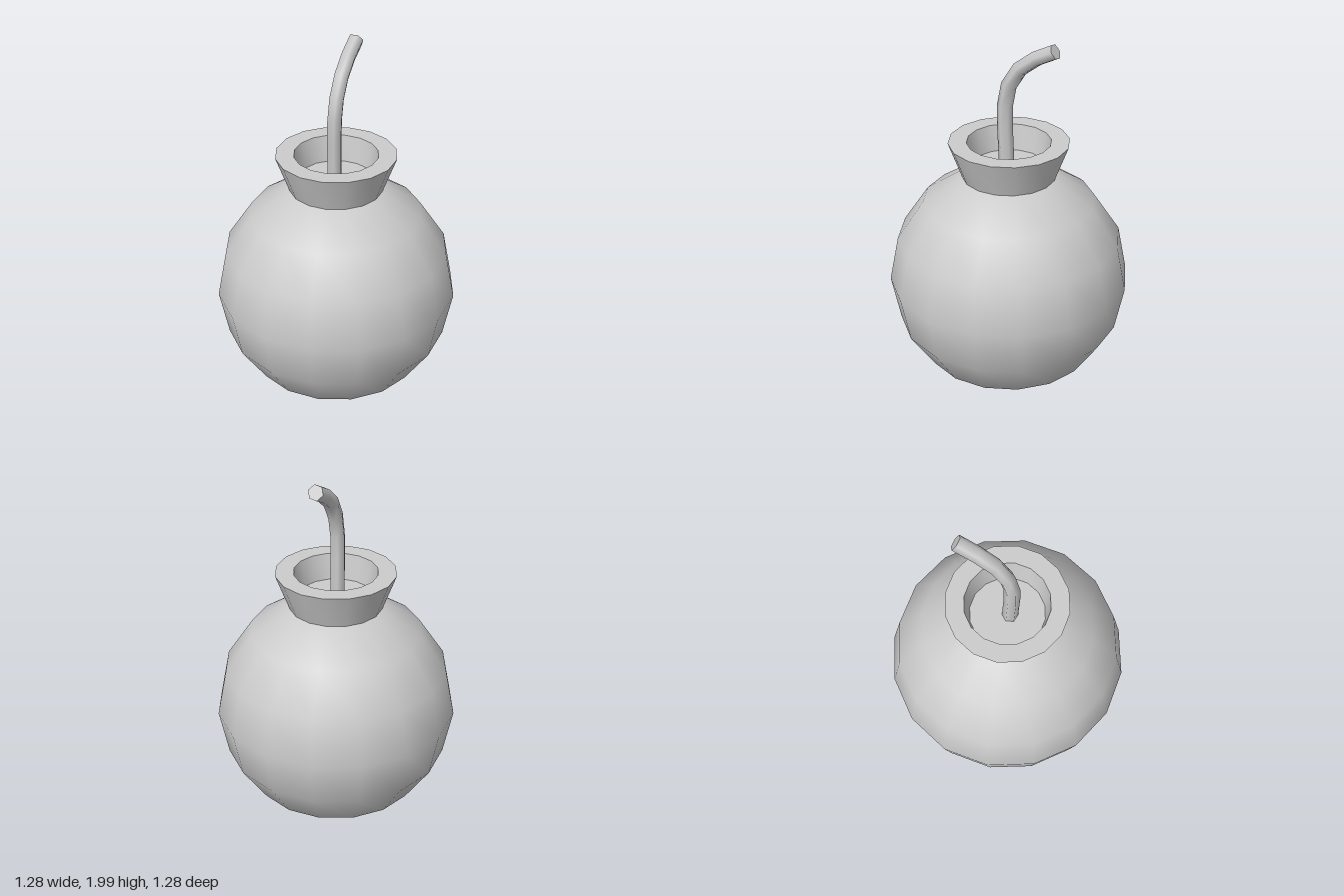
import * as THREE from 'three';
import { toCreasedNormals } from 'three/addons/utils/BufferGeometryUtils.js';

export function createModel() {
  const model = new THREE.Group();
  const material = new THREE.MeshStandardMaterial({ color: 0xcccccc });
  const add = (name, geometry) => {
    const mesh = new THREE.Mesh(geometry, material);
    mesh.name = name;
    model.add(mesh);
    return mesh;
  };

  // Round low-poly body
  add('body', new THREE.SphereGeometry(0.642, 16, 8)).position.y = 0.645;

  // Flared collar with a recessed floor
  const profile = [
    [0.245, 1.238], [0.316, 1.43], [0.22, 1.43], [0.195, 1.29], [0, 1.29],
  ].map(([r, y]) => new THREE.Vector2(r, y));
  add('collar', toCreasedNormals(new THREE.LatheGeometry(profile, 16), 0.6));

  // Fuse: hexagonal tube rising from the collar and bending backwards
  const path = new THREE.CatmullRomCurve3([
    [0, 1.28, 0.015], [0.003, 1.43, 0.02], [0.005, 1.57, 0.024], [0.004, 1.7, 0.012],
    [-0.004, 1.805, -0.035], [-0.022, 1.885, -0.115], [-0.05, 1.96, -0.25],
  ].map((p) => new THREE.Vector3(...p)));
  const segments = 7;
  const sides = 6;
  const tube = new THREE.TubeGeometry(path, segments, 0.041, sides);
  add('fuse', tube);

  // Flat end of the fuse, spanning the last ring of the tube
  const ring = [];
  for (let i = 0; i < sides; i++) {
    ring.push(new THREE.Vector3().fromBufferAttribute(tube.attributes.position, segments * (sides + 1) + i));
  }
  const tip = new THREE.BufferGeometry().setFromPoints(ring);
  const along = path.getTangent(1);
  const normal = ring[1].clone().sub(ring[0]).cross(ring[2].clone().sub(ring[0]));
  const outward = normal.dot(along) > 0;
  const index = [];
  for (let i = 1; i < sides - 1; i++) index.push(0, ...(outward ? [i, i + 1] : [i + 1, i]));
  tip.setIndex(index);
  tip.computeVertexNormals();
  add('fuseTip', tip);

  return model;
}
